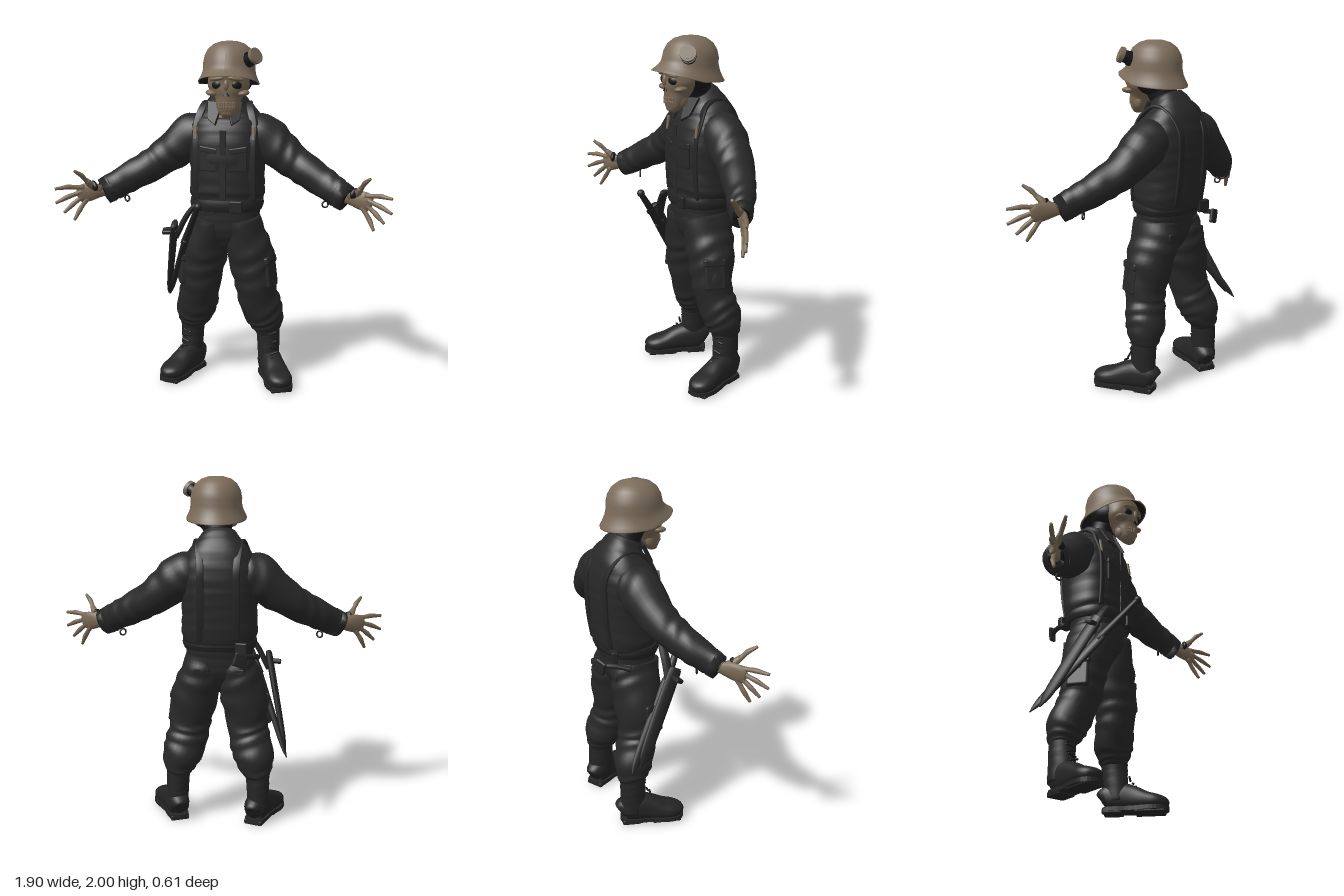
import * as THREE from 'three';
import { RoundedBoxGeometry } from 'three/addons/geometries/RoundedBoxGeometry.js';

const V = (x, y, z) => new THREE.Vector3(x, y, z);

// Skin through oval cross-sections [x, y, z, radiusAcross, radiusAlongRef]
function loft(rings, { ref = V(0, 0, 1), seg = 28, sub = 5, square = 1, fold = 0, freq = 5 } = {}) {
  const path = new THREE.CatmullRomCurve3(rings.map(r => V(r[0], r[1], r[2])));
  const size = new THREE.CatmullRomCurve3(rings.map(r => V(r[3], r[4], 0)));
  path.curveType = size.curveType = 'catmullrom';
  const n = (rings.length - 1) * sub, pos = [], idx = [];
  const pw = c => Math.sign(c) * Math.abs(c) ** square;
  for (let i = 0; i <= n; i++) {
    const p = path.getPoint(i / n), s = size.getPoint(i / n), t = path.getTangent(i / n);
    const u = ref.clone().addScaledVector(t, -ref.dot(t)).normalize(), v = t.clone().cross(u);
    for (let j = 0; j < seg; j++) {
      const a = j / seg * Math.PI * 2;
      const k = 1 + fold * Math.sin(freq * i / sub * 2 + 1.8 * Math.sin(a + i * 0.25) + 1.3 * Math.cos(2 * a));
      const q = p.clone().addScaledVector(v, pw(Math.cos(a)) * s.x * k).addScaledVector(u, pw(Math.sin(a)) * s.y * k);
      pos.push(q.x, q.y, q.z);
    }
  }
  for (let i = 0; i < n; i++) for (let j = 0; j < seg; j++) {
    const a = i * seg + j, b = i * seg + (j + 1) % seg;
    idx.push(a, a + seg, b, b, a + seg, b + seg);
  }
  // end caps
  const c0 = pos.length / 3, first = path.getPoint(0), last = path.getPoint(1);
  pos.push(first.x, first.y, first.z, last.x, last.y, last.z);
  for (let j = 0; j < seg; j++) {
    const k = (j + 1) % seg;
    idx.push(c0, j, k, c0 + 1, n * seg + k, n * seg + j);
  }
  const g = new THREE.BufferGeometry();
  g.setAttribute('position', new THREE.Float32BufferAttribute(pos, 3));
  g.setIndex(idx);
  g.computeVertexNormals();
  return g;
}

// Torso sections [y, centre z, half width, half depth]
const TORSO = [[0.78, -0.04, 0.05, 0.06], [0.84, -0.04, 0.13, 0.1], [0.91, -0.04, 0.19, 0.132], [1, -0.04, 0.19, 0.142], [1.07, -0.045, 0.195, 0.15],
  [1.13, -0.055, 0.217, 0.168], [1.25, -0.06, 0.214, 0.174], [1.38, -0.062, 0.222, 0.181], [1.5, -0.072, 0.222, 0.168],
  [1.58, -0.075, 0.185, 0.142], [1.64, -0.06, 0.13, 0.11], [1.69, -0.035, 0.09, 0.085]];
function torsoZ(x, y, side) {
  let i = 0;
  while (i < TORSO.length - 2 && TORSO[i + 1][0] < y) i++;
  const a = TORSO[i], b = TORSO[i + 1], t = (y - a[0]) / (b[0] - a[0]), m = k => a[k] + (b[k] - a[k]) * t;
  return m(1) + side * m(3) * Math.max(0, 1 - Math.abs(x / m(2)) ** 2.35) ** (1 / 2.35);
}

export function createModel() {
  const model = new THREE.Group();
  model.name = 'helmetedSkeletonFigure';
  const mat = (name, color) => Object.assign(new THREE.MeshStandardMaterial({ color }), { name });
  const cloth = mat('blackCloth', 0x282829), leather = mat('blackLeather', 0x252526), shade = mat('deepShadowBlack', 0x191818);
  const tan = mat('tanPaint', 0x7b6c5b), bone = mat('agedBone', 0x796854);
  const add = (name, geo, m, p = [0, 0, 0], r = [0, 0, 0], s = [1, 1, 1]) => {
    const o = new THREE.Mesh(geo, m);
    o.name = name; o.position.set(...p); o.rotation.set(...r); o.scale.set(...s);
    model.add(o);
    return o;
  };
  const ball = (name, m, p, s, r) => add(name, new THREE.SphereGeometry(1, 24, 16), m, p, r, s);
  const box = (name, m, size, p, r, rad = 0.008) => add(name, new RoundedBoxGeometry(...size, 2, rad), m, p, r);

  // Jacket, hips and belt
  add('jacketAndHips', loft(TORSO.map(r => [0, r[0], r[1], r[2], r[3]]), { square: 0.85, fold: 0.012, seg: 48 }), cloth);
  add('belt', loft([[0, 1.04, -0.045, 0.203, 0.158], [0, 1.07, -0.045, 0.213, 0.167], [0, 1.1, -0.047, 0.21, 0.165]], { square: 0.85, seg: 48 }), leather);
  box('beltBuckle', leather, [0.075, 0.07, 0.025], [0.075, 1.075, 0.12]);
  box('jacketPlacket', cloth, [0.035, 0.4, 0.01], [0, 1.31, 0.114], [0, 0, 0], 0.004);
  for (const s of [-1, 1]) {
    box('chestPocket', cloth, [0.1, 0.13, 0.014], [s * 0.085, 1.34, 0.104], [0, s * 0.12, 0], 0.006);
    box('pocketFlap', cloth, [0.106, 0.035, 0.018], [s * 0.085, 1.395, 0.104], [0, s * 0.12, s * 0.15]);
    // Collar flap
    const flap = new THREE.Shape([[0, 0.08], [0.085, 0.1], [0.075, -0.01], [0.035, -0.045]].map(p => new THREE.Vector2(s * p[0], p[1])));
    add('collarFlap', new THREE.ExtrudeGeometry(flap, { depth: 0.012, bevelSize: 0.004, bevelThickness: 0.004, bevelSegments: 2 }), cloth, [s * 0.012, 1.58, 0.08], [-0.5, s * 0.3, 0]);
    // Suspender strap over the shoulder, front to back
    const pts = [];
    for (const y of [1.1, 1.2, 1.32, 1.44, 1.54]) pts.push([s * 0.16, y, torsoZ(0.16, y, 1) + 0.004, 0.007, 0.021]);
    pts.push([s * 0.14, 1.61, 0.0, 0.009, 0.021], [s * 0.122, 1.65, -0.07, 0.009, 0.021], [s * 0.113, 1.62, -0.16, 0.009, 0.021]);
    for (const y of [1.52, 1.4, 1.25, 1.1]) pts.push([s * 0.1, y, torsoZ(0.1, y, -1) - 0.006, 0.008, 0.021]);
    add('suspenderStrap', loft(pts, { ref: V(1, 0, 0), seg: 12, square: 0.4 }), leather);
    box('strapClip', tan, [0.018, 0.08, 0.012], [s * 0.166, 1.49, torsoZ(0.165, 1.49, 1) + 0.015], [-0.15, 0, 0], 0.004);
  }
  box('beltPouch', leather, [0.07, 0.07, 0.035], [-0.13, 1.06, -0.2], [0, -0.3, 0]);

  // Limbs
  for (const s of [-1, 1]) {
    const arm = [[0.12, 1.49, -0.08, 0.1, 0.11], [0.205, 1.455, -0.08, 0.13, 0.122], [0.305, 1.378, -0.068, 0.115, 0.113], [0.4, 1.31, -0.042, 0.098, 0.1],
      [0.48, 1.262, -0.008, 0.092, 0.092], [0.57, 1.212, 0.035, 0.085, 0.08], [0.64, 1.172, 0.08, 0.08, 0.067], [0.69, 1.145, 0.105, 0.074, 0.057]];
    add('sleeve', loft(arm.map(r => [s * r[0], ...r.slice(1)]), { fold: 0.03, freq: 2.6, sub: 7 }), cloth);
    add('cuff', loft([[s * 0.645, 1.168, 0.082, 0.082, 0.068], [s * 0.695, 1.142, 0.109, 0.076, 0.059]], { sub: 2 }), cloth);
    add('cuffOpening', loft([[s * 0.69, 1.145, 0.106, 0.058, 0.046], [s * 0.699, 1.14, 0.111, 0.056, 0.044]], { sub: 1 }), shade);
    add('cuffRing', new THREE.TorusGeometry(0.018, 0.005, 8, 16), leather, [s * 0.575, 1.095, 0.05], [0, s * 0.5, 0]);

    // Bony hand
    const hand = (name, list) => add(name, loft(list.map(r => [s * r[0], ...r.slice(1)]), { seg: 12, sub: 4 }), bone);
    hand('palm', [[0.66, 1.155, 0.095, 0.034, 0.026], [0.71, 1.147, 0.115, 0.036, 0.025], [0.76, 1.143, 0.14, 0.05, 0.023], [0.805, 1.137, 0.16, 0.053, 0.018], [0.835, 1.132, 0.175, 0.038, 0.012]]);
    hand('thumbBase', [[0.715, 1.155, 0.122, 0.022, 0.024], [0.755, 1.185, 0.155, 0.022, 0.021], [0.775, 1.215, 0.185, 0.015, 0.015]]);
    ball('wristWrap', shade, [s * 0.74, 1.182, 0.157], [0.034, 0.024, 0.016], [0, s * 0.7, s * 0.7]);
    const fingers = [[[0.77, 1.205, 0.178], [0.795, 1.25, 0.215], [0.825, 1.28, 0.25]], [[0.8, 1.17, 0.16], [0.88, 1.178, 0.2], [0.945, 1.172, 0.24]],
      [[0.81, 1.147, 0.165], [0.885, 1.12, 0.205], [0.945, 1.09, 0.24]], [[0.805, 1.122, 0.162], [0.86, 1.075, 0.19], [0.905, 1.03, 0.218]],
      [[0.785, 1.105, 0.155], [0.825, 1.04, 0.175], [0.85, 0.985, 0.2]]];
    for (const [a, b, c] of fingers) {
      const mid = (p, q) => p.map((v, i) => (v + q[i]) / 2);
      hand('finger', [[...a, 0.017, 0.015], [...mid(a, b), 0.0125, 0.0125], [...b, 0.014, 0.013], [...mid(b, c), 0.011, 0.011], [...c, 0.008, 0.008]]);
    }

    // Bloused trouser leg; the right foot stands further back
    const off = y => (s < 0 ? -0.055 * Math.min(1, Math.max(0, (0.9 - y) / 0.6)) : 0);
    const inx = y => (s < 0 ? 0.018 * Math.min(1, Math.max(0, (0.9 - y) / 0.6)) : 0);
    const place = list => list.map(([x, y, z, a, b]) => [s * (x - inx(y)), y, z + off(y), a, b]);
    add('trouserLeg', loft(place([[0.09, 0.99, -0.035, 0.1, 0.14], [0.108, 0.88, -0.04, 0.122, 0.148], [0.142, 0.76, -0.038, 0.137, 0.138], [0.165, 0.64, -0.03, 0.125, 0.122],
      [0.18, 0.54, -0.035, 0.118, 0.112], [0.2, 0.46, -0.055, 0.122, 0.11], [0.224, 0.38, -0.074, 0.112, 0.11], [0.236, 0.32, -0.08, 0.09, 0.092], [0.24, 0.28, -0.08, 0.066, 0.076]]),
      { fold: 0.03, freq: 2.8, sub: 7 }), cloth);
    box('cargoPocket', cloth, [0.05, 0.17, 0.125], [s * 0.255, 0.67, 0.0 + off(0.67)], [0, -s * 0.3, s * 0.13], 0.015);
    box('cargoPocketFlap', cloth, [0.056, 0.045, 0.132], [s * 0.248, 0.745, 0.0 + off(0.7)], [0, -s * 0.3, s * 0.13], 0.012);
    box('hipPocketFlap', cloth, [0.09, 0.035, 0.015], [s * 0.1, 0.92, -0.18], [0, s * 0.2, 0], 0.005);

    // Boot: shaft, foot, sole, heel and laces
    add('bootShaft', loft(place([[0.24, 0.33, -0.08, 0.07, 0.076], [0.245, 0.24, -0.08, 0.067, 0.076], [0.247, 0.16, -0.078, 0.064, 0.078], [0.25, 0.07, -0.078, 0.062, 0.08]]), { fold: 0.012 }), leather);
    const boot = new THREE.Group();
    boot.name = 'boot';
    boot.position.set(s * (s < 0 ? 0.262 : 0.29), 0, 0.015 + (s < 0 ? -0.05 : 0));
    boot.rotation.y = s * 0.38;
    model.add(boot);
    const part = (name, geo, m) => { const o = new THREE.Mesh(geo, m); o.name = name; boot.add(o); return o; };
    part('bootFoot', loft([[0, 0.075, -0.178, 0.03, 0.045], [0, 0.09, -0.155, 0.058, 0.07], [0, 0.1, -0.09, 0.066, 0.085], [0, 0.09, -0.01, 0.066, 0.076], [0, 0.072, 0.07, 0.074, 0.056],
      [0, 0.063, 0.13, 0.075, 0.046], [0, 0.055, 0.175, 0.056, 0.036], [0, 0.048, 0.198, 0.02, 0.018]], { ref: V(0, 1, 0), square: 0.85 }), leather);
    const outline = new THREE.Shape(new THREE.SplineCurve([[0, -0.18], [0.05, -0.162], [0.062, -0.1], [0.06, -0.02], [0.078, 0.09], [0.063, 0.17], [0, 0.203],
      [-0.063, 0.17], [-0.078, 0.09], [-0.06, -0.02], [-0.062, -0.1], [-0.05, -0.162], [0, -0.18]].map(p => new THREE.Vector2(...p))).getPoints(48));
    const sole = part('sole', new THREE.ExtrudeGeometry(outline, { depth: 0.024, bevelEnabled: false }), leather);
    sole.rotation.x = Math.PI / 2; sole.position.y = 0.036;
    const heel = part('heel', new RoundedBoxGeometry(0.11, 0.03, 0.11, 2, 0.008), leather);
    heel.position.set(0, 0.015, -0.115);
    const tread = part('tread', new RoundedBoxGeometry(0.125, 0.02, 0.17, 2, 0.008), leather);
    tread.position.set(0, 0.01, 0.095);
    for (let i = 0; i < 6; i++) {
      const lace = part('lace', new THREE.CapsuleGeometry(0.006, 0.045, 4, 8), shade);
      lace.position.set(0, 0.15 + i * 0.028, 0.018 - Math.min(i, 3) * 0.018);
      lace.rotation.z = Math.PI / 2 + (i % 2 ? 0.25 : -0.25);
    }
  }

  // Neck and hood behind the face
  add('neck', loft([[0, 1.6, -0.05, 0.085, 0.085], [0.012, 1.69, -0.025, 0.08, 0.08], [0.025, 1.8, 0.02, 0.1, 0.1]]), shade);
  ball('hood', shade, [0.03, 1.79, 0.02], [0.128, 0.1, 0.115]);

  // Skull
  const hx = 0.032;
  add('skull', loft([[hx, 1.592, 0.163, 0.028, 0.02], [hx, 1.612, 0.15, 0.05, 0.04], [hx, 1.65, 0.134, 0.064, 0.058], [hx, 1.685, 0.122, 0.072, 0.072], [hx, 1.715, 0.114, 0.092, 0.083],
    [hx, 1.75, 0.106, 0.115, 0.09], [hx, 1.79, 0.095, 0.115, 0.108], [hx, 1.84, 0.085, 0.11, 0.11]], { seg: 36 }), bone);
  for (const s of [-1, 1]) {
    ball('eyeSocket', shade, [hx + s * 0.055, 1.766, 0.171], [0.031, 0.025, 0.018], [0, s * 0.5, -s * 0.2]);
    ball('cheekbone', bone, [hx + s * 0.084, 1.72, 0.14], [0.036, 0.018, 0.042], [0, s * 0.5, s * 0.15]);
    ball('jawCorner', bone, [hx + s * 0.05, 1.655, 0.11], [0.018, 0.04, 0.03]);
    ball('browRidge', bone, [hx + s * 0.052, 1.8, 0.183], [0.046, 0.012, 0.02], [0, s * 0.35, -s * 0.15]);
  }
  ball('noseBridge', bone, [hx, 1.765, 0.194], [0.015, 0.03, 0.014]);
  add('nasalOpening', new THREE.ConeGeometry(0.019, 0.04, 12), shade, [hx, 1.724, 0.191], [-0.1, 0, 0], [1, 1, 0.4]);
  for (let i = -4; i <= 4; i++) for (const y of [1.664, 1.645]) {
    const a = i * 0.22;
    box('tooth', bone, [0.0125, 0.018, 0.01], [hx + Math.sin(a) * 0.06, y, 0.133 + Math.cos(a) * 0.057], [0, a, 0], 0.003);
  }

  // Helmet: lathe stretched front to back, with a raised front rim
  const shell = profile => {
    const g = new THREE.LatheGeometry(profile.map(p => new THREE.Vector2(...p)), 64), a = g.attributes.position;
    for (let i = 0; i < a.count; i++) {
      const x = a.getX(i), y = a.getY(i), z = a.getZ(i), f = Math.min(1, Math.max(0, (1.88 - y) / 0.12));
      const c = z / (Math.hypot(x, z) || 1);
      a.setXYZ(i, 0.024 + x * (1 - 0.07 * f), y + f * (0.058 * Math.max(0, c) ** 0.9 - 0.018 * Math.max(0, -c)), 0.028 + f * 0.016 + z * (1.1 + 0.06 * f));
    }
    g.computeVertexNormals();
    return g;
  };
  add('helmetShell', shell([[0.177, 1.762], [0.183, 1.76], [0.184, 1.766], [0.172, 1.785], [0.157, 1.815], [0.148, 1.845], [0.146, 1.88],
    [0.138, 1.92], [0.118, 1.957], [0.085, 1.984], [0.045, 1.997], [0.0001, 2]]), tan);
  add('helmetLining', shell([[0.0001, 1.9], [0.11, 1.88], [0.14, 1.83], [0.155, 1.79], [0.178, 1.762]]), shade);

  // Lamp on the side of the helmet
  const lamp = new THREE.Group();
  lamp.name = 'helmetLamp';
  lamp.position.set(0.162, 1.91, 0.12);
  lamp.quaternion.setFromUnitVectors(V(0, 1, 0), V(0.75, 0.4, 0.5).normalize());
  model.add(lamp);
  for (const [name, r, h, y, m] of [['lampMount', 0.042, 0.03, -0.03, shade], ['lampBody', 0.036, 0.05, 0, shade], ['lampRim', 0.045, 0.022, 0.028, tan], ['lampCap', 0.034, 0.01, 0.037, tan]]) {
    const o = new THREE.Mesh(new THREE.CylinderGeometry(r, r, h, 24), m);
    o.name = name; o.position.y = y; lamp.add(o);
  }

  // Two sheathed blades on the right hip
  const blade = (name, a, b, w, m) => {
    const rings = [0, 0.08, 0.5, 0.85, 1].map((t, i) => [...a.map((v, k) => v + (b[k] - v) * t), [0.017, 0.02, 0.018, 0.014, 0.003][i], w * [0.8, 1, 1, 0.8, 0.1][i]]);
    add(name, loft(rings, { seg: 14 }), m);
  };
  blade('longSheath', [-0.215, 0.88, 0.11], [-0.39, 0.44, -0.24], 0.034, leather);
  add('longHilt', loft([[-0.11, 1.11, 0.285, 0.016, 0.016], [-0.16, 1, 0.2, 0.018, 0.02], [-0.23, 0.85, 0.085, 0.022, 0.026]], { seg: 14 }), leather);
  ball('pommel', leather, [-0.112, 1.103, 0.278], [0.022, 0.022, 0.022]);
  blade('shortSheath', [-0.28, 0.97, 0.12], [-0.385, 0.46, -0.18], 0.042, leather);
  box('sheathGuard', leather, [0.09, 0.025, 0.05], [-0.31, 0.92, 0.1], [0.4, 0, 0.1]);
  add('sheathHanger', loft([[-0.16, 1.08, 0.1, 0.014, 0.026], [-0.22, 1.0, 0.09, 0.016, 0.028], [-0.28, 0.88, 0.08, 0.016, 0.028]], { seg: 10 }), leather);

  // Tool handle at the back of the belt
  add('toolHandle', loft([[-0.22, 1, -0.14, 0.016, 0.016], [-0.17, 1.02, -0.22, 0.014, 0.014], [-0.125, 1.02, -0.285, 0.016, 0.016]], { ref: V(0, 1, 0), seg: 12 }), leather);
  box('toolHead', leather, [0.075, 0.08, 0.022], [-0.125, 1.015, -0.285], [0, 0.3, 0.3], 0.01);
  return model;
}
